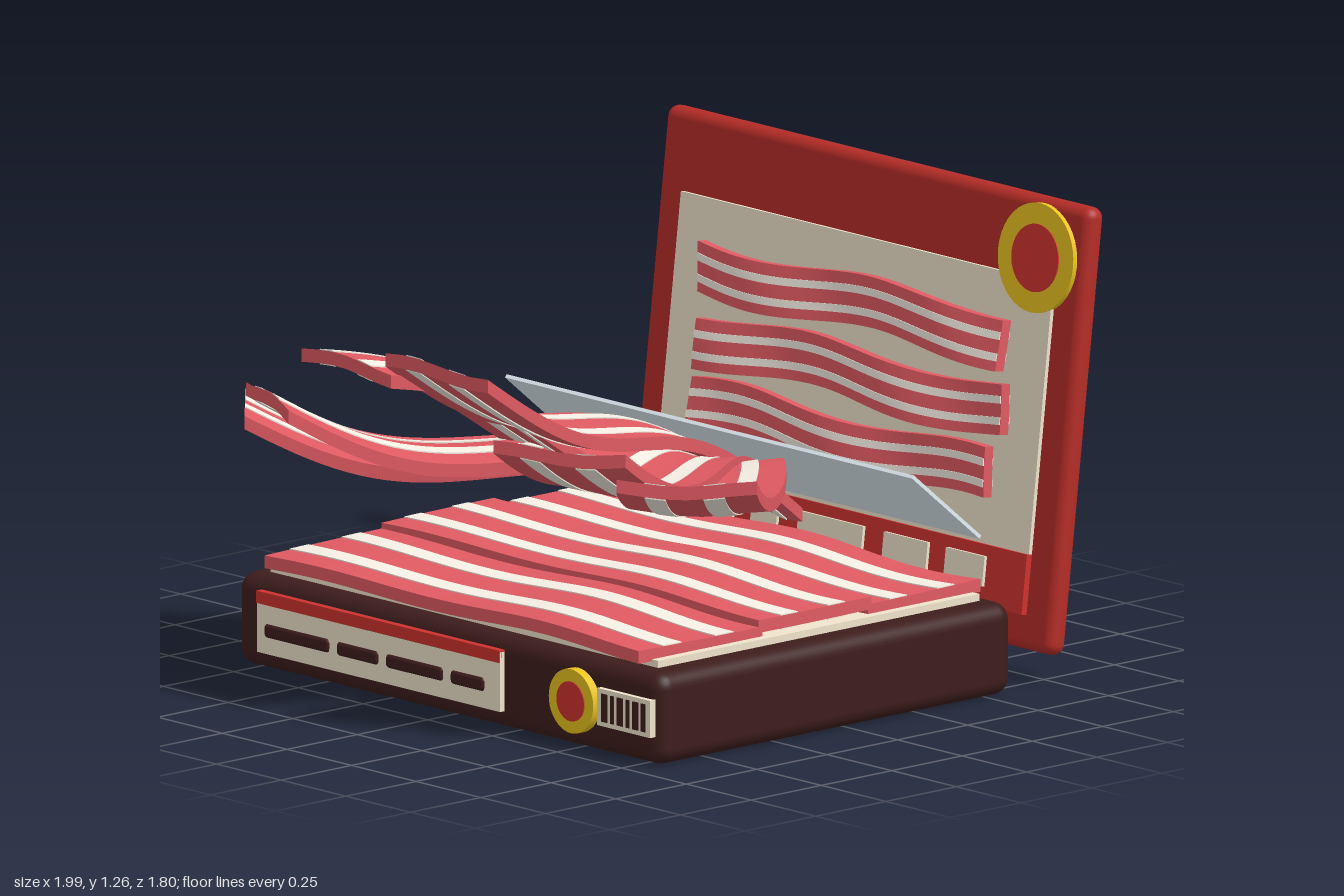
import * as THREE from 'three';
import { RoundedBoxGeometry } from 'three/addons/geometries/RoundedBoxGeometry.js';
import { mergeGeometries } from 'three/addons/utils/BufferGeometryUtils.js';

const mat = (color) => new THREE.MeshStandardMaterial({ color });
const M = {
  lid: mat(0xb52c27), dark: mat(0x3d1d1c), cream: mat(0xf1e4cc), yellow: mat(0xeac31f),
  red: mat(0xcf322f), meat: mat(0xe05a62), fat: mat(0xf6efe4), sheet: mat(0xe4f0f8),
};

function add(parent, name, geometry, material, x = 0, y = 0, z = 0) {
  const mesh = new THREE.Mesh(geometry, material);
  mesh.name = name;
  mesh.position.set(x, y, z);
  parent.add(mesh);
  return mesh;
}

// Box given by its x and y limits, centred on z with a depth
function plate(parent, name, material, x0, x1, y0, y1, z, depth) {
  return add(parent, name, new THREE.BoxGeometry(x1 - x0, y1 - y0, depth), material, (x0 + x1) / 2, (y0 + y1) / 2, z);
}

// Bacon strip: a meat ribbon with two fat bands just proud of it, bent by place(t, u, h) -> Vector3,
// t along the strip 0..1, u across -0.5..0.5, h through the thickness
function bacon(parent, name, place, thick) {
  const band = (u0, u1, length, height) => {
    const g = new THREE.BoxGeometry(u1 - u0, height, length, 6, 1, 36);
    const p = g.attributes.position;
    for (let i = 0; i < p.count; i++) {
      const v = place(p.getZ(i) + 0.5, (u0 + u1) / 2 + p.getX(i), p.getY(i));
      p.setXYZ(i, v.x, v.y, v.z);
    }
    g.computeVertexNormals();
    return g;
  };
  const group = new THREE.Group();
  group.name = name;
  add(group, 'meat', band(-0.5, 0.5, 1, thick), M.meat);
  add(group, 'fat', mergeGeometries([
    band(-0.3, -0.15, 0.998, thick + 0.006),
    band(0.12, 0.27, 0.998, thick + 0.006),
  ]), M.fat);
  parent.add(group);
  return group;
}

// Strip lying along x with gentle ripples up and sideways
function flatStrip(parent, name, length, width, thick, amp, phase) {
  return bacon(parent, name, (t, u, h) => new THREE.Vector3(
    (t - 0.5) * length,
    h + amp * Math.sin(t * 10 + phase + u),
    -u * width + 0.016 * Math.sin(t * 8 + phase)), thick);
}

// Round badge facing +z
function badge(parent, x, y, z, r, depth) {
  const disc = (name, radius, d, m) =>
    add(parent, name, new THREE.CylinderGeometry(radius, radius, d, 40).rotateX(Math.PI / 2), m, x, y, z + d / 2);
  disc('badgeRim', r, depth, M.yellow);
  disc('badgeCentre', r * 0.62, depth + 0.003, M.red);
}

export function createModel() {
  const model = new THREE.Group();
  model.name = 'baconBox';

  // Base box with tray
  const base = new THREE.Group();
  base.name = 'base';
  model.add(base);
  add(base, 'baseBox', new RoundedBoxGeometry(1.645, 0.248, 1.26, 4, 0.045), M.dark, 0, 0.124, 0.05);
  add(base, 'tray', new THREE.BoxGeometry(1.5, 0.04, 1.14), M.cream, 0, 0.247, 0.05);

  // Front label with slots
  plate(base, 'frontLabel', M.cream, -0.72, 0.22, 0.05, 0.21, 0.685, 0.02);
  plate(base, 'labelStripe', M.red, -0.72, 0.22, 0.182, 0.215, 0.687, 0.022);
  for (const [a, b] of [[-0.69, -0.44], [-0.41, -0.25], [-0.22, 0], [0.03, 0.16]])
    add(base, 'labelSlot', new RoundedBoxGeometry(b - a, 0.038, 0.024, 3, 0.011), M.dark, (a + b) / 2, 0.113, 0.69);
  badge(base, 0.505, 0.13, 0.675, 0.086, 0.03);

  // Striped tag
  plate(base, 'tag', M.cream, 0.595, 0.8, 0.08, 0.18, 0.685, 0.02);
  [0.022, 0.012, 0.022, 0.012, 0.022, 0.016].forEach((w, i) => {
    const x = 0.625 + i * 0.03;
    plate(base, 'tagBar', M.dark, x - w / 2, x + w / 2, 0.093, 0.168, 0.695, 0.006);
  });

  // Three wide strips lying in the tray, the middle one on top
  [[0.435, 0.285], [0.035, 0.303], [-0.345, 0.285]].forEach(([z, y], i) => {
    flatStrip(base, 'trayStrip', 1.45, i ? 0.4 : 0.44, 0.034, 0.009, i * 0.5 + 0.6).position.set(0, y, z);
  });

  // Leaning lid
  const lid = new THREE.Group();
  lid.name = 'lid';
  lid.position.set(0, 0.667, -0.807);
  lid.rotation.x = -0.12;
  model.add(lid);
  add(lid, 'lidPanel', new RoundedBoxGeometry(1.645, 1.19, 0.064, 4, 0.03), M.lid);
  plate(lid, 'lidWindow', M.cream, -0.72, 0.72, -0.36, 0.38, 0.034, 0.018);
  plate(lid, 'lidBand', M.red, -0.72, 0.72, -0.5, -0.34, 0.04, 0.02);
  for (const [a, b] of [[-0.57, -0.4], [-0.33, -0.23], [-0.15, 0.1], [0.18, 0.35], [0.42, 0.57]])
    plate(lid, 'bandBar', M.cream, a, b, -0.45, -0.37, 0.053, 0.012);
  badge(lid, 0.648, 0.436, 0.028, 0.145, 0.018);
  [[0, 0.207], [0.025, 0.022], [0.005, -0.157]].forEach(([x, y], i) => {
    const s = flatStrip(lid, 'lidStrip', 1.16, 0.135, 0.03, 0.015, i * 1.7);
    s.rotation.x = Math.PI / 2;
    s.position.set(x, y, 0.077);
  });

  // Tilted clear sheet behind the fan
  add(model, 'sheet', new THREE.BoxGeometry(1.575, 0.01, 0.312), M.sheet, 0, 0.53, -0.37).rotation.x = -0.695;

  // Fan of rising strips: start [x, y, z], end [x, y, z], wave height, sag
  const fan = new THREE.Group();
  fan.name = 'fan';
  model.add(fan);
  const strips = [
    [[-0.04, 0.475, -0.28], [-0.86, 0.665, 0.61], 0.05, 0.045],
    [[0, 0.45, -0.35], [-0.545, 0.775, 0.82], 0.055, 0.03],
    [[-0.12, 0.405, -0.39], [-0.195, 0.935, 0.86], -0.05, 0.01],
    [[0.08, 0.41, -0.39], [0.165, 0.98, 0.87], 0.06, -0.02],
    [[0, 0.46, -0.35], [0.57, 0.815, 0.805], 0.055, 0.01],
    [[0.05, 0.495, -0.28], [0.86, 0.745, 0.62], 0.045, 0.01],
  ];
  strips.forEach(([s, e, wave, sag], i) => {
    const a = new THREE.Vector3(...s), b = new THREE.Vector3(...e);
    const dir = b.clone().sub(a).setY(0).normalize();
    const side = new THREE.Vector3(dir.z, 0, -dir.x);
    bacon(fan, 'fanStrip', (t, u, h) => {
      const v = a.clone().lerp(b, t);
      const width = 0.24 + 0.13 * Math.sin(t * Math.PI / 2);
      v.addScaledVector(side, u * width + 0.018 * (Math.sin(t * Math.PI * 2 + i) - Math.sin(i)));
      v.y += h + wave * Math.sin(t * Math.PI * 2) - sag * Math.sin(t * Math.PI) + 0.01 * Math.sin(u * 5 + i);
      return v;
    }, 0.036);
  });

  return model;
}
